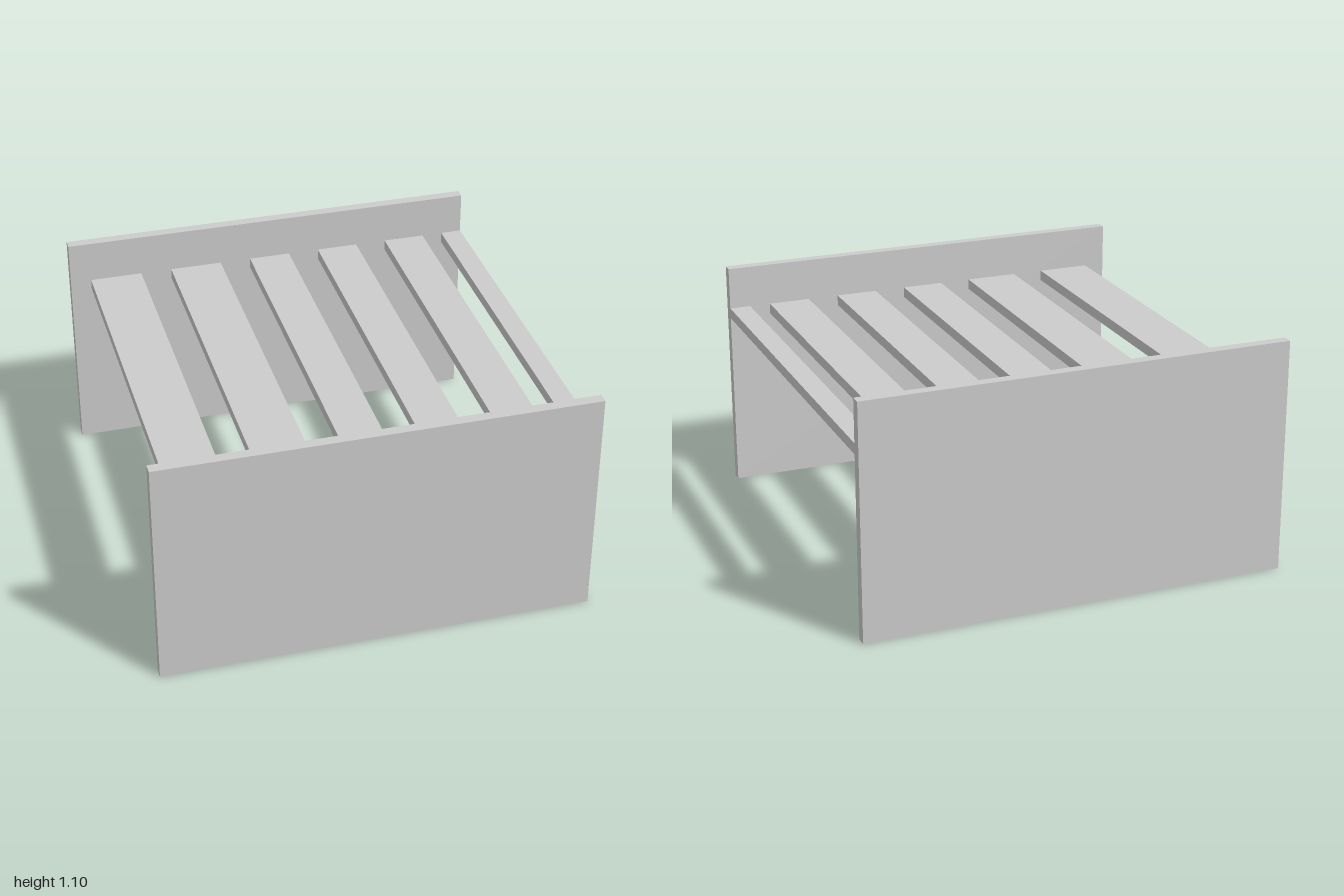
import * as THREE from 'three';

export function createModel() {
  const model = new THREE.Group();
  const material = new THREE.MeshStandardMaterial({ color: 0xcccccc });
  const panelThickness = 0.05, panelHeight = 1.1;
  const slatThickness = 0.05, slatTop = 0.9;

  const addBox = (name, size, position) => {
    const mesh = new THREE.Mesh(new THREE.BoxGeometry(...size), material);
    mesh.name = name;
    mesh.position.set(...position);
    model.add(mesh);
  };

  // Upright end panels, front and back
  for (const [name, side] of [['frontPanel', 1], ['backPanel', -1]]) {
    addBox(name, [2, panelHeight, panelThickness],
      [0, panelHeight / 2, side * (1 - panelThickness / 2)]);
  }

  // Slats spanning between the panels: [left edge, right edge] in x
  const slats = [[-0.9, -0.65], [-0.5, -0.25], [-0.1, 0.1], [0.25, 0.45], [0.6, 0.8], [0.9, 1]];
  slats.forEach(([x0, x1], i) => {
    addBox(`slat${i + 1}`, [x1 - x0, slatThickness, 2 - 2 * panelThickness],
      [(x0 + x1) / 2, slatTop - slatThickness / 2, 0]);
  });

  return model;
}
